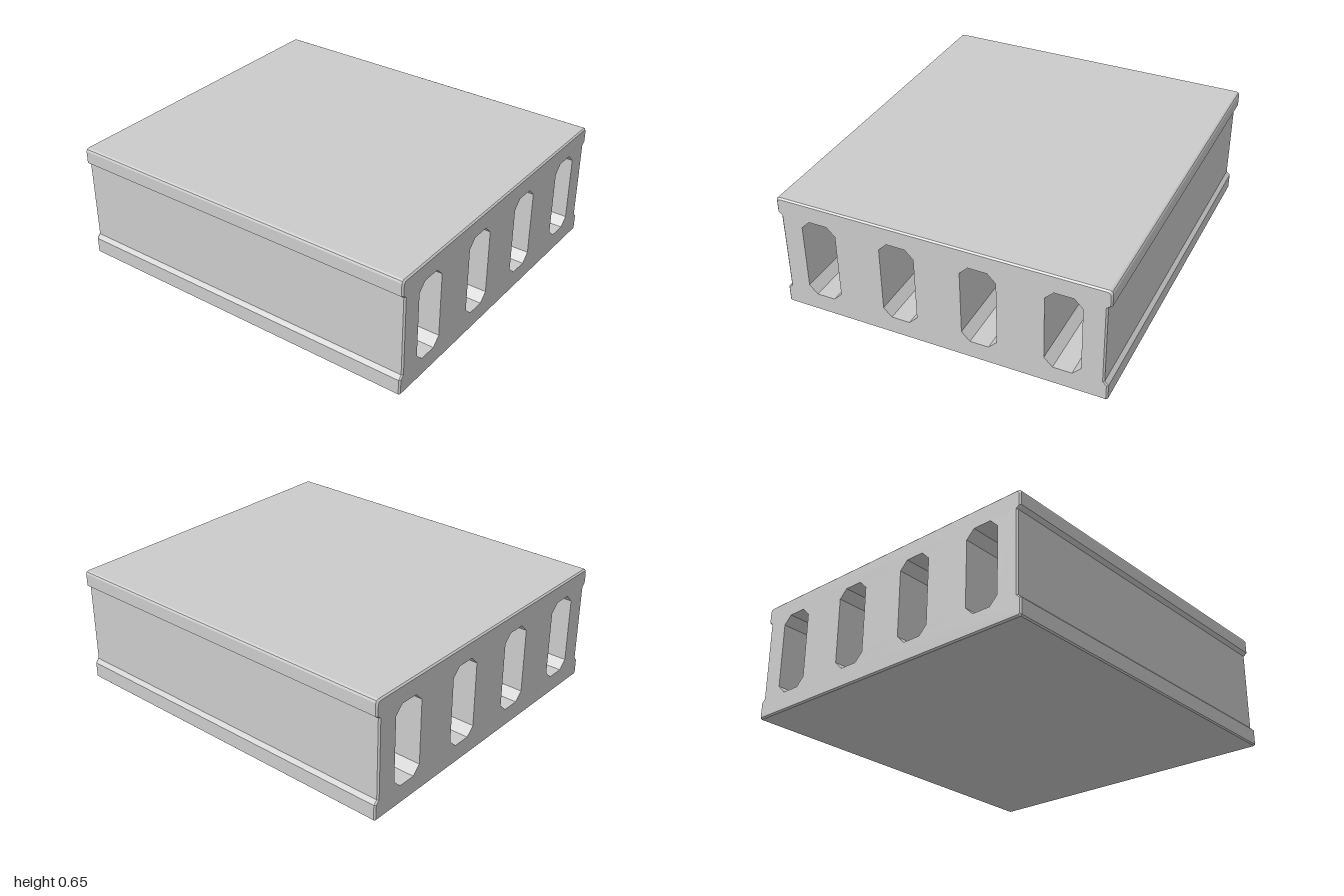
import * as THREE from 'three';

const BEVEL = 0.008;

// Octagonal core opening, centred on cx
function corePath(cx) {
  const w = 0.095, c = 0.045, y0 = 0.104, y1 = 0.552;
  return new THREE.Path([
    [cx - w + c, y0], [cx - w, y0 + c], [cx - w, y1 - c], [cx - w + c, y1],
    [cx + w - c, y1], [cx + w, y1 - c], [cx + w, y0 + c], [cx + w - c, y0],
  ].map(([x, y]) => new THREE.Vector2(x, y)));
}

export function createModel() {
  const group = new THREE.Group();
  group.name = 'hollowCoreSlab';

  // Right-hand edge from bottom to top: lower lip, side recess, upper lip
  const edge = [
    [0.88, 0], [0.887, 0.007], [0.887, 0.09], [0.867, 0.11],
    [0.867, 0.55], [0.887, 0.566], [0.887, 0.635], [0.882, 0.645], [0.872, 0.65],
  ].map(([x, y]) => new THREE.Vector2(x, y));
  const mirrored = edge.map((p) => new THREE.Vector2(-p.x, p.y)).reverse();
  const shape = new THREE.Shape([...edge, ...mirrored]);
  shape.holes = [-0.655, -0.218, 0.218, 0.655].map(corePath);

  // Three steps along the length; the end rings become a narrow outer chamfer
  const geometry = new THREE.ExtrudeGeometry(shape, { depth: 3, steps: 3, bevelEnabled: false });
  const levels = [-1, -1 + BEVEL, 1 - BEVEL, 1];
  const pos = geometry.attributes.position;
  for (let i = 0; i < pos.count; i++) {
    const level = Math.round(pos.getZ(i));
    const x = pos.getX(i), y = pos.getY(i);
    pos.setZ(i, levels[level]);
    if ((level === 0 || level === 3) && Math.abs(x) > 0.8) {
      pos.setX(i, x - Math.sign(x) * BEVEL);
      if (y > 0.6) pos.setY(i, y - BEVEL);
      if (y < 0.05) pos.setY(i, y + BEVEL);
    }
  }
  geometry.computeVertexNormals();

  const slab = new THREE.Mesh(
    geometry,
    new THREE.MeshStandardMaterial({ color: 0xcccccc, flatShading: true }),
  );
  slab.name = 'slab';
  group.add(slab);
  return group;
}
